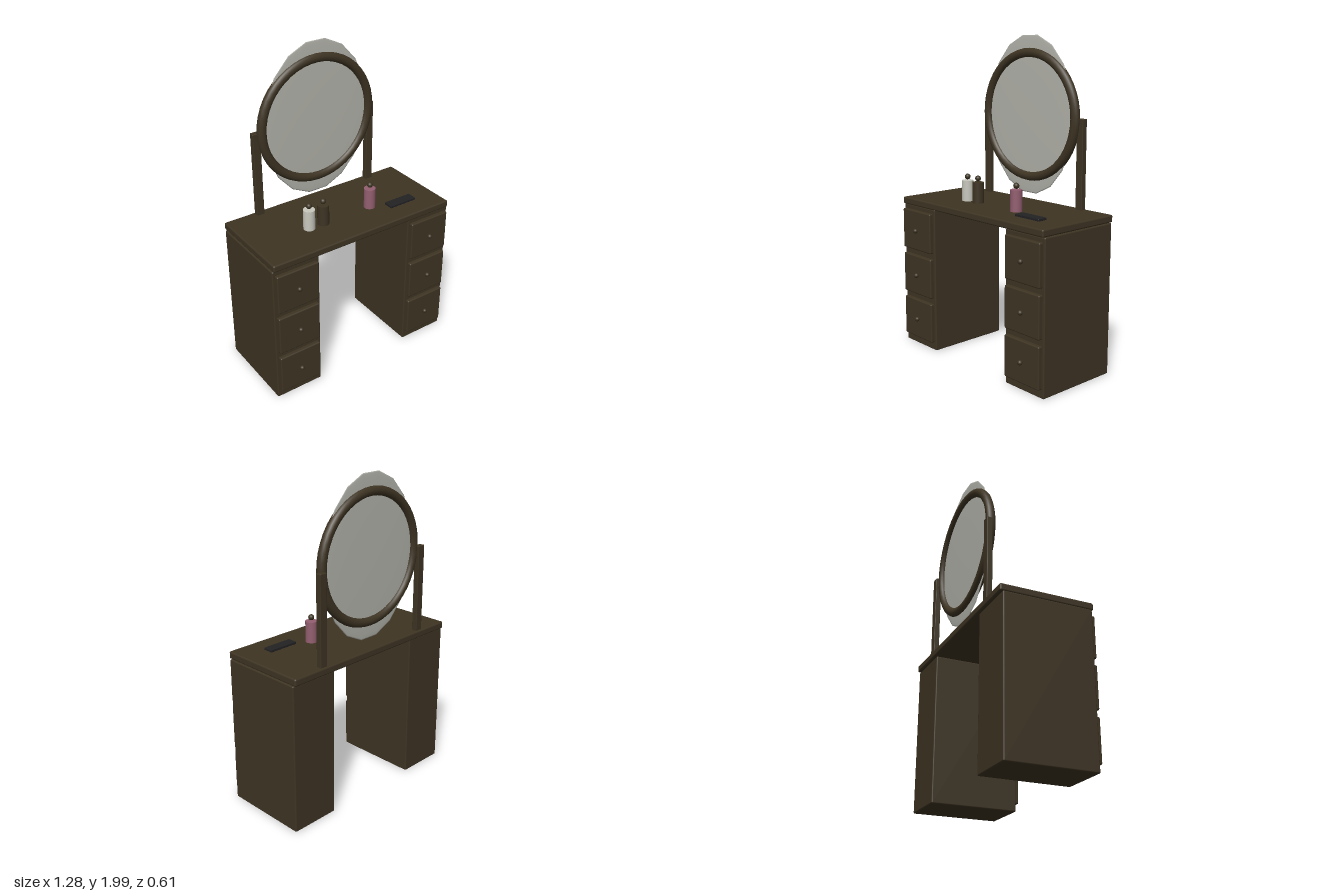
import * as THREE from 'three';
import { RoundedBoxGeometry } from 'three/addons/geometries/RoundedBoxGeometry.js';

function mat(name, color) {
  const m = new THREE.MeshStandardMaterial({ color });
  m.name = name;
  return m;
}

export function createModel() {
  const wood = mat('dark wood', 0x3e3423);
  const glass = mat('mirror glass', 0xb4b4ac);
  const white = mat('white bottle', 0xc8c8be);
  const pink = mat('pink bottle', 0x945f70);
  const black = mat('black comb', 0x222224);

  const model = new THREE.Group();
  model.name = 'dressingTable';

  const add = (name, geometry, material, x, y, z) => {
    const mesh = new THREE.Mesh(geometry, material);
    mesh.name = name;
    mesh.position.set(x, y, z);
    model.add(mesh);
    return mesh;
  };
  // Box given by its minimum and maximum on each axis, with softened edges
  const box = (name, material, [x0, x1], [y0, y1], [z0, z1], r) => add(
    name, new RoundedBoxGeometry(x1 - x0, y1 - y0, z1 - z0, 2, r), material,
    (x0 + x1) / 2, (y0 + y1) / 2, (z0 + z1) / 2);

  // Table top
  box('tableTop', wood, [-0.637, 0.637], [0.925, 0.97], [-0.305, 0.268], 0.01);

  for (const side of [-1, 1]) {
    const span = (a, b) => (side > 0 ? [a, b] : [-b, -a]);
    const label = side > 0 ? 'left' : 'right';

    // Cabinet with three drawers and knobs
    box(label + 'Cabinet', wood, span(0.328, 0.642), [0, 0.925], [-0.29, 0.255], 0.008);
    for (let i = 0; i < 3; i++) {
      const y = 0.181 + i * 0.294;
      box(label + 'Drawer', wood, span(0.345, 0.625), [y - 0.128, y + 0.128], [0.24, 0.28], 0.008);
      add(label + 'Knob', new THREE.SphereGeometry(0.015, 16, 12), wood, side * 0.485, y, 0.288);
    }

    // Mirror post
    box(label + 'Post', wood, span(0.384, 0.434), [0.965, 1.51], [-0.292, -0.257], 0.004);
  }

  // Round mirror frame with an oval lens of glass
  add('mirrorFrame', new THREE.TorusGeometry(0.381, 0.029, 10, 48), wood, 0, 1.507, -0.247);
  const lens = add('mirrorGlass', new THREE.SphereGeometry(1, 18, 18), glass, 0, 1.507, -0.247);
  lens.geometry.rotateX(Math.PI / 2);
  lens.scale.set(0.37, 0.493, 0.008);

  // Perfume bottles with ball stoppers
  for (const [x, material] of [[-0.255, white], [-0.155, wood], [0.19, pink]]) {
    add('bottle', new THREE.CylinderGeometry(0.036, 0.036, 0.13, 24), material, x, 1.035, 0.043);
    add('stopper', new THREE.SphereGeometry(0.018, 16, 12), wood, x, 1.123, 0.043);
  }

  // Comb lying on the table
  box('comb', black, [0.284, 0.476], [0.969, 0.984], [0.077, 0.14], 0.002);

  return model;
}
